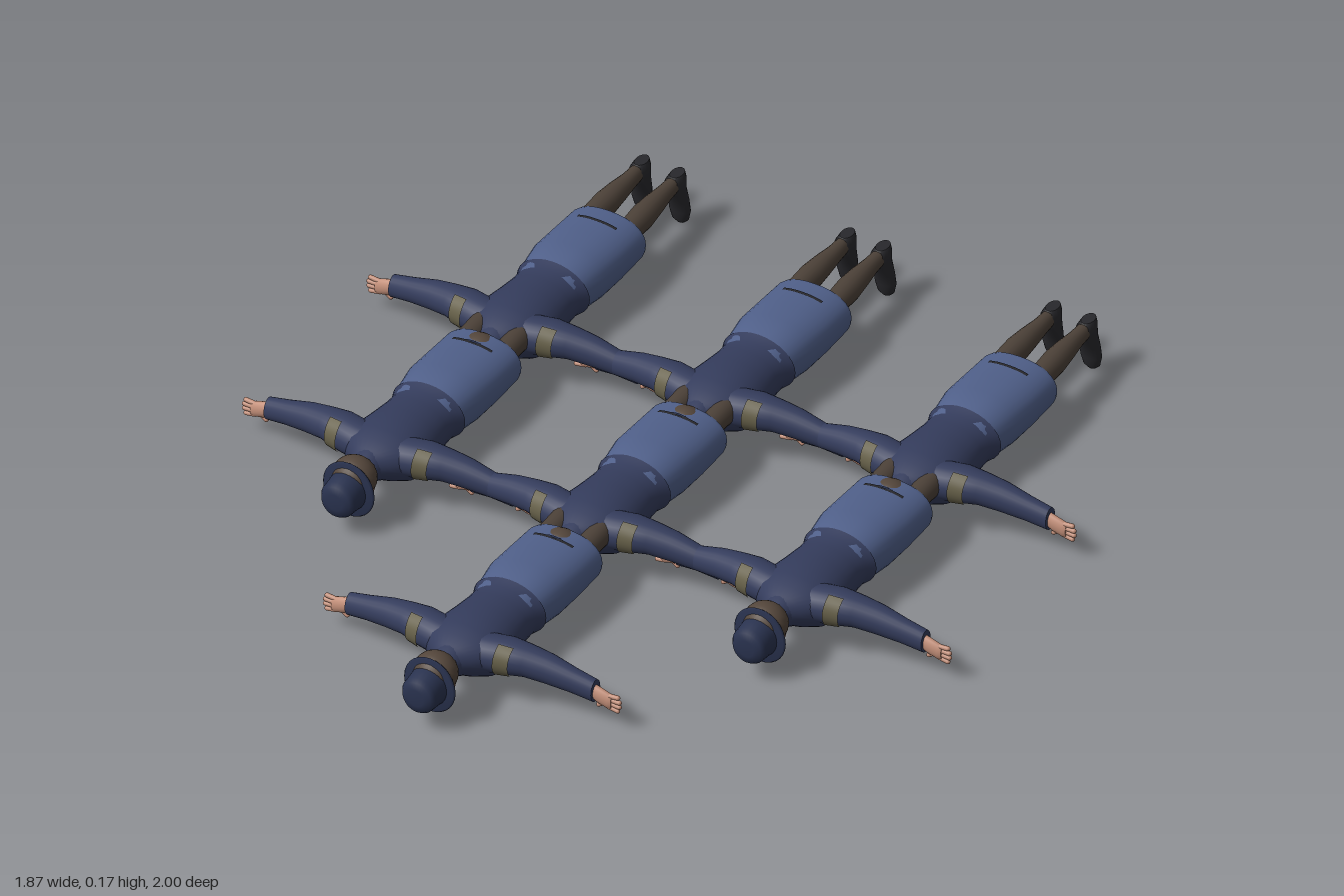
import * as THREE from 'three';

const mat = (name, color) => {
  const m = new THREE.MeshStandardMaterial({ color });
  m.name = name;
  return m;
};

// Turns ring coordinates (a, b) and the position t along the axis into x, y, z.
const AXES = {
  x: (a, b, t) => [t, a, b],
  y: (a, b, t) => [b, t, a],
  z: (a, b, t) => [a, b, t],
};

// Skin through elliptical rings [t, centreA, centreB, radiusA, radiusB].
// An arc range makes an open strip; a full turn gets flat end caps.
function loft(axis, rings, { sides = 24, square = 1, arc = null } = {}) {
  const pos = [], idx = [], place = AXES[axis];
  const [from, to] = arc || [0, Math.PI * 2];
  const cols = arc ? sides + 1 : sides;
  const soft = v => Math.sign(v) * Math.abs(v) ** square;
  const addRing = ([t, ca, cb, ra, rb]) => {
    for (let i = 0; i < cols; i++) {
      const w = from + (to - from) * i / sides;
      pos.push(...place(ca + ra * soft(Math.cos(w)), cb + rb * soft(Math.sin(w)), t));
    }
  };
  rings.forEach(addRing);
  for (let r = 0; r < rings.length - 1; r++) {
    for (let i = 0; i < sides; i++) {
      const a = r * cols + i, b = r * cols + (i + 1) % cols;
      idx.push(a, b, b + cols, a, b + cols, a + cols);
    }
  }
  if (!arc) {
    for (const end of [0, rings.length - 1]) {
      const base = pos.length / 3, [t, ca, cb] = rings[end];
      addRing(rings[end]);
      pos.push(...place(ca, cb, t));
      for (let i = 0; i < sides; i++) {
        const a = base + i, b = base + (i + 1) % sides, c = base + sides;
        if (end) idx.push(a, b, c); else idx.push(b, a, c);
      }
    }
  }
  const g = new THREE.BufferGeometry();
  g.setAttribute('position', new THREE.Float32BufferAttribute(pos, 3));
  g.setIndex(idx);
  g.computeVertexNormals();
  return g;
}

// Copy on the other side of x = 0 with the corner order kept outward.
function mirror(g) {
  const m = g.clone(), p = m.attributes.position, n = m.attributes.normal, ix = m.index;
  for (let i = 0; i < p.count; i++) {
    p.setX(i, -p.getX(i));
    n.setX(i, -n.getX(i));
  }
  for (let i = 0; i < ix.count; i += 3) {
    const k = ix.getX(i);
    ix.setX(i, ix.getX(i + 1));
    ix.setX(i + 1, k);
  }
  return m;
}

const ball = (x, y, z, rx, ry, rz) =>
  new THREE.SphereGeometry(1, 22, 14).scale(rx, ry, rz).translate(x, y, z);

// Lathe standing along z, a little deeper than wide.
const turned = points =>
  new THREE.LatheGeometry(points.map(p => new THREE.Vector2(...p)), 28)
    .rotateX(Math.PI / 2).scale(1, 1.08, 1).translate(0, 0.095, 0);

export function createModel() {
  const jacket = mat('navy jacket', 0x343c5c);
  const skirt = mat('blue skirt', 0x50608a);
  const hatBlue = mat('dark navy hat', 0x2a3350);
  const skin = mat('skin', 0xc4907a);
  const hair = mat('brown hair', 0x54463b);
  const stocking = mat('brown stocking', 0x4c4138);
  const shoe = mat('black shoe', 0x28282c);
  const olive = mat('olive patch', 0x666049);
  olive.side = shoe.side = THREE.DoubleSide;

  const parts = [];
  const add = (name, material, geometry) => parts.push([name, material, geometry]);
  const addPair = (name, material, geometry) => {
    add('left' + name, material, geometry);
    add('right' + name, material, mirror(geometry));
  };

  // Body: soles at z = 0, top of the hat at z = 0.905, face towards -y.
  add('skirt', skirt, loft('z', [
    [0.245, 0, 0.097, 0.097, 0.061], [0.255, 0, 0.097, 0.1, 0.064], [0.35, 0, 0.098, 0.102, 0.068],
    [0.42, 0, 0.101, 0.1, 0.073], [0.48, 0, 0.1, 0.09, 0.069], [0.53, 0, 0.097, 0.078, 0.058],
  ], { sides: 32, square: 0.88 }));
  add('skirtVent', shoe, loft('z', [
    [0.295, 0, 0.0975, 0.103, 0.068], [0.303, 0, 0.0975, 0.103, 0.068],
  ], { sides: 8, square: 0.88, arc: [1.1, 2.04] }));
  add('jacket', jacket, loft('z', [
    [0.49, 0, 0.097, 0.096, 0.071], [0.515, 0, 0.095, 0.086, 0.066], [0.55, 0, 0.094, 0.087, 0.068],
    [0.6, 0, 0.092, 0.093, 0.075], [0.645, 0, 0.093, 0.1, 0.077], [0.69, 0, 0.1, 0.104, 0.068],
    [0.725, 0, 0.107, 0.087, 0.054], [0.752, 0, 0.11, 0.052, 0.04], [0.768, 0, 0.11, 0.037, 0.034],
  ], { sides: 32 }));
  add('collar', jacket, loft('z', [
    [0.735, 0, 0.105, 0.052, 0.048], [0.76, 0, 0.108, 0.041, 0.04], [0.78, 0, 0.11, 0.034, 0.032],
  ]));
  add('neck', skin, loft('z', [[0.74, 0, 0.105, 0.03, 0.03], [0.8, 0, 0.1, 0.03, 0.03]]));

  // Head
  add('face', skin, ball(0, 0.089, 0.815, 0.044, 0.05, 0.053));
  add('nose', skin, ball(0, 0.04, 0.81, 0.007, 0.01, 0.011));
  add('hair', hair, ball(0, 0.116, 0.817, 0.054, 0.05, 0.049));
  addPair('Eye', shoe, ball(0.016, 0.045, 0.823, 0.006, 0.004, 0.004));
  add('hatCrown', hatBlue, turned([
    [0.049, 0.84], [0.046, 0.865], [0.044, 0.89], [0.037, 0.901], [0.02, 0.905], [0, 0.905],
  ]));
  add('hatBrim', hatBlue, turned([
    [0.03, 0.838], [0.064, 0.837], [0.068, 0.842], [0.064, 0.847], [0.03, 0.85],
  ]));

  // Arms
  const arm = [
    [0.05, 0.113, 0.69, 0.044, 0.05], [0.11, 0.118, 0.682, 0.044, 0.049],
    [0.16, 0.115, 0.672, 0.038, 0.04], [0.21, 0.107, 0.665, 0.036, 0.034],
    [0.27, 0.095, 0.66, 0.031, 0.026], [0.325, 0.083, 0.655, 0.029, 0.021],
  ];
  addPair('Sleeve', jacket, loft('x', arm));
  addPair('ShoulderPatch', olive, loft('x', [
    [0.1, 0.118, 0.683, 0.048, 0.054], [0.135, 0.117, 0.677, 0.045, 0.05],
  ], { sides: 10, arc: [0.45, 2.25] }));
  addPair('Hand', skin, loft('x', [
    [0.31, 0.085, 0.655, 0.017, 0.013], [0.335, 0.075, 0.655, 0.021, 0.013],
    [0.36, 0.068, 0.655, 0.021, 0.011], [0.369, 0.066, 0.655, 0.017, 0.008],
  ], { sides: 14 }));
  for (let i = 0; i < 4; i++) {
    addPair('Finger' + (i + 1), skin, new THREE.CapsuleGeometry(0.0058, 0.026, 4, 8)
      .rotateZ(Math.PI / 2 + (i - 2) * 0.09)
      .translate(0.375 - (i === 0 || i === 3 ? 0.004 : 0), 0.05 + i * 0.011, 0.655));
  }
  addPair('Thumb', skin, new THREE.CapsuleGeometry(0.006, 0.024, 4, 8)
    .rotateZ(Math.PI / 2 + 0.6).translate(0.342, 0.053, 0.652));

  // Legs and shoes
  addPair('Leg', stocking, loft('z', [
    [0.03, 0.047, 0.122, 0.017, 0.02], [0.08, 0.047, 0.121, 0.02, 0.022],
    [0.13, 0.048, 0.121, 0.026, 0.027], [0.18, 0.049, 0.12, 0.03, 0.031],
    [0.23, 0.05, 0.119, 0.028, 0.029], [0.3, 0.05, 0.115, 0.033, 0.034],
  ], { sides: 18 }));
  addPair('Shoe', shoe, loft('y', [
    [0.003, 0.013, 0.05, 0.007, 0.01], [0.014, 0.015, 0.05, 0.013, 0.021],
    [0.04, 0.017, 0.05, 0.017, 0.027], [0.07, 0.021, 0.049, 0.021, 0.025],
    [0.1, 0.03, 0.047, 0.03, 0.022], [0.13, 0.032, 0.047, 0.032, 0.022],
    [0.144, 0.024, 0.047, 0.023, 0.015],
  ], { sides: 18 }));

  // Formation: three in the middle file, two in each outer file
  const model = new THREE.Group();
  model.name = 'formation';
  for (const [file, rows] of [[0, [0, 1, 2]], [-1, [1, 2]], [1, [1, 2]]]) {
    for (const row of rows) {
      const figure = new THREE.Group();
      figure.name = 'figure';
      figure.position.set(file * 0.543, 0, 0.095 - row * 0.5475);
      for (const [name, material, geometry] of parts) {
        const mesh = new THREE.Mesh(geometry, material);
        mesh.name = name;
        figure.add(mesh);
      }
      model.add(figure);
    }
  }
  return model;
}
